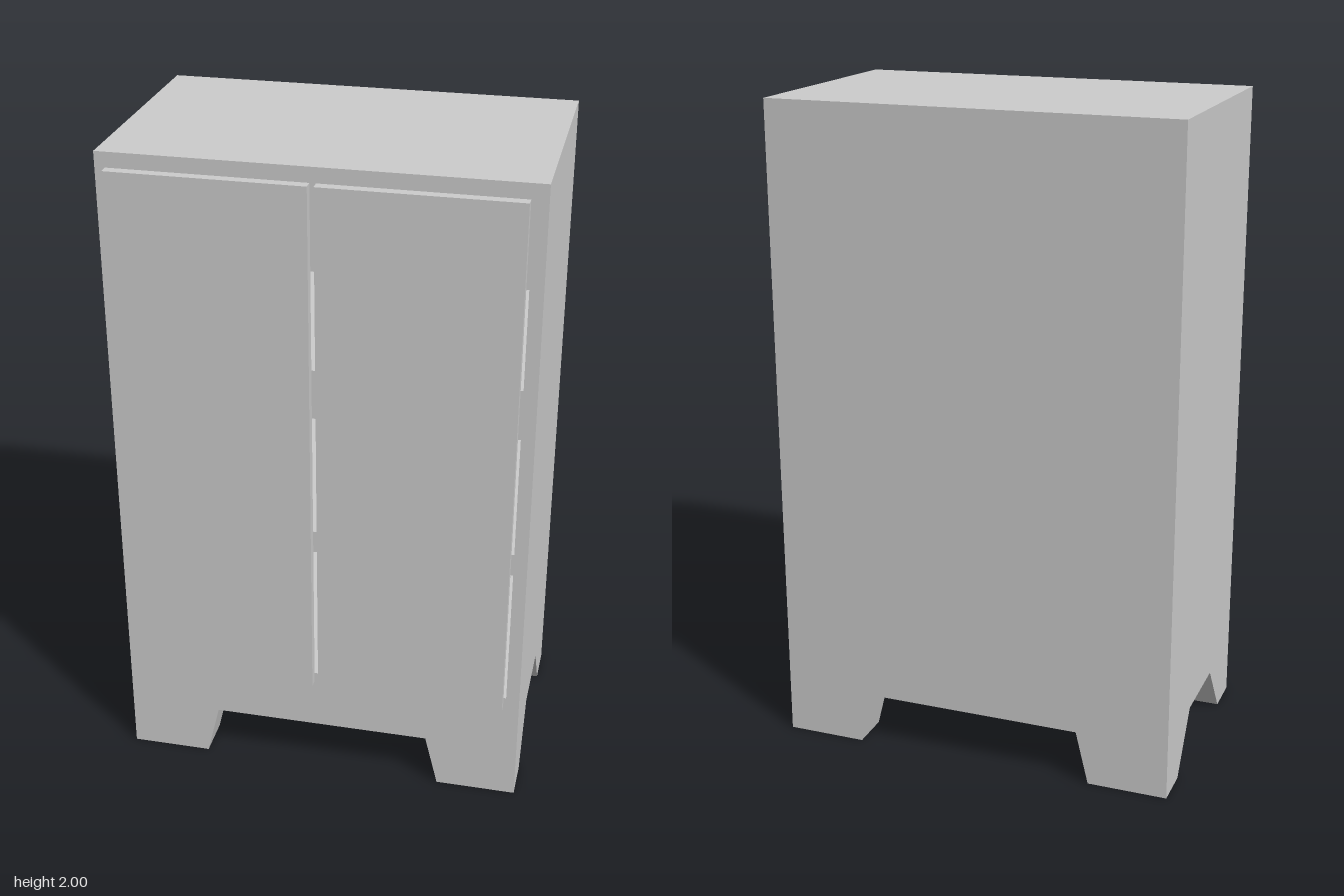
import * as THREE from 'three';

const material = new THREE.MeshStandardMaterial({ color: 0xcccccc, flatShading: true });

// Overall extents of the cabinet body
const W = 0.62, BACK = -0.39, FRONT = 0.36, TOP = 2;
const WALL = 0.04, FLOOR = 0.36;

function addBox(group, name, x0, x1, y0, y1, z0, z1) {
  const mesh = new THREE.Mesh(new THREE.BoxGeometry(x1 - x0, y1 - y0, z1 - z0), material);
  mesh.position.set((x0 + x1) / 2, (y0 + y1) / 2, (z0 + z1) / 2);
  mesh.name = name;
  group.add(mesh);
}

// Plinth: a gridded block whose underside drops to the ground at its corners,
// leaving sloped notches between four tapered feet
function plinthGeometry() {
  const xs = [-W, -0.375, -0.335, 0.335, 0.375, W];
  const zs = [BACK, -0.265, -0.14, 0.11, 0.235, FRONT];
  const geometry = new THREE.BoxGeometry(1, 1, 1, 5, 1, 5);
  const p = geometry.attributes.position;
  const outer = (i) => i <= 1 || i >= 4;
  for (let n = 0; n < p.count; n++) {
    const i = Math.round((p.getX(n) + 0.5) * 5);
    const j = Math.round((p.getZ(n) + 0.5) * 5);
    let y = FLOOR;
    if (p.getY(n) < 0) {
      if (outer(i) && outer(j)) y = 0;
      else y = i === 0 || i === 5 ? 0.175 : 0.165;
    }
    p.setXYZ(n, xs[i], y, zs[j]);
  }
  geometry.computeVertexNormals();
  return geometry;
}

export function createModel() {
  const cabinet = new THREE.Group();
  cabinet.name = 'cabinet';

  const plinth = new THREE.Mesh(plinthGeometry(), material);
  plinth.name = 'plinthWithFeet';
  cabinet.add(plinth);

  // Hollow carcass
  const top = TOP - 0.09;
  addBox(cabinet, 'rightSide', -W, -W + WALL, FLOOR, top, BACK, FRONT);
  addBox(cabinet, 'leftSide', W - WALL, W, FLOOR, top, BACK, FRONT);
  addBox(cabinet, 'topPanel', -W, W, top, TOP, BACK, FRONT);
  addBox(cabinet, 'backPanel', -W + WALL, W - WALL, FLOOR, top, BACK, BACK + WALL);

  // Shelves
  for (const y of [0.8, 1.33]) {
    addBox(cabinet, 'shelf', -W + WALL, W - WALL, y, y + 0.07, BACK + WALL, FRONT - 0.005);
  }

  // Doors, with a narrow gap between them
  addBox(cabinet, 'rightDoor', -0.59, -0.018, 0.33, 1.955, FRONT, 0.39);
  addBox(cabinet, 'leftDoor', 0, 0.572, 0.33, 1.955, FRONT, 0.39);

  return cabinet;
}
